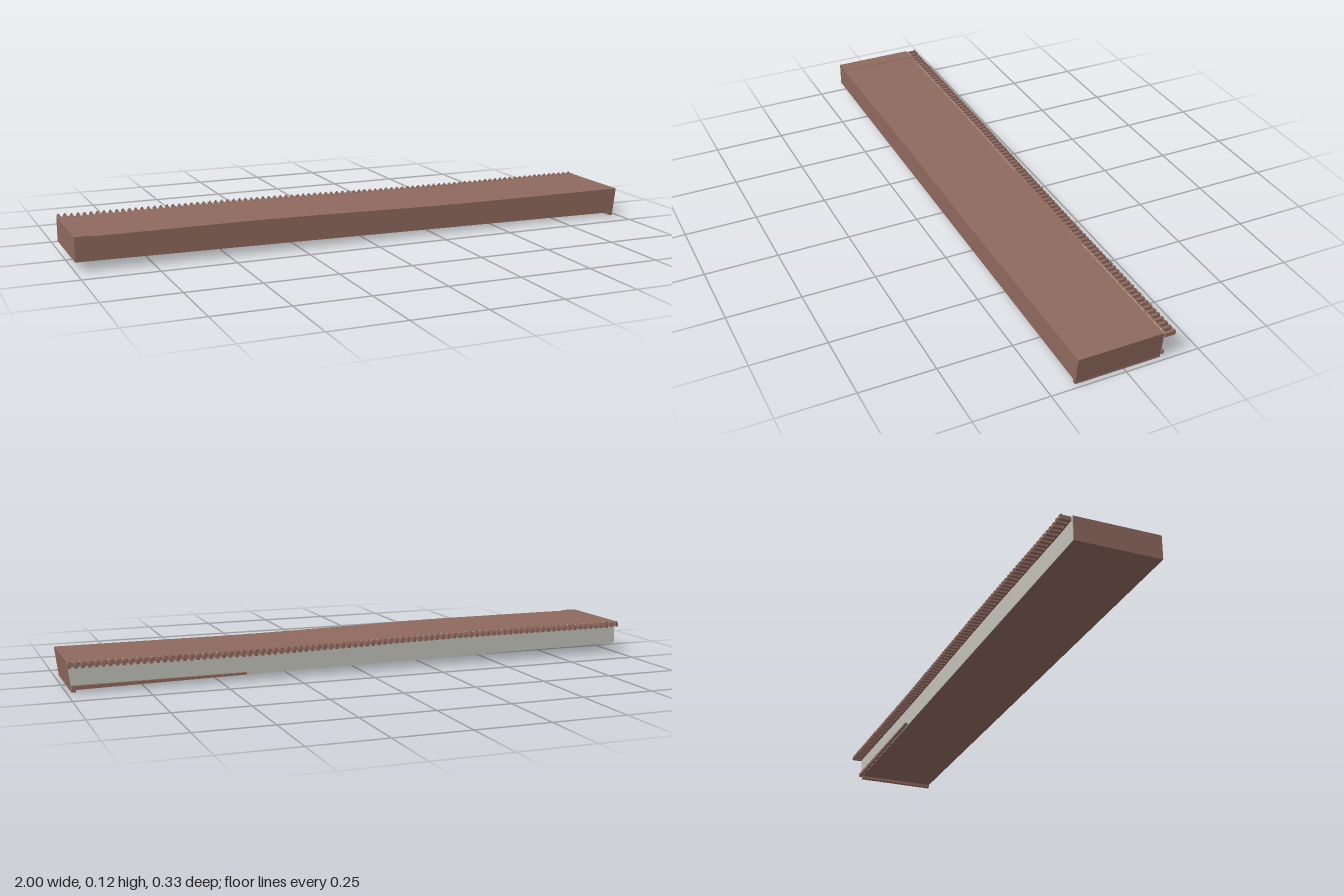
import * as THREE from 'three';

const FRONT = 0.163, BACK = -0.125;

// Height of the deck along its length: a raised end strip, then a gentle S down to the right
function topY(x) {
  if (x < -0.945) return 0.114;
  const t = THREE.MathUtils.smoothstep(x, -0.5, 0.45);
  return 0.1115 - 0.0125 * t;
}
const bottomY = (x) => 0.0215 - 0.0115 * x;

export function createModel() {
  const model = new THREE.Group();
  const brown = new THREE.MeshStandardMaterial({ color: 0x8f695e });
  brown.name = 'brown';
  const grey = new THREE.MeshStandardMaterial({ color: 0xc2c2ba });
  grey.name = 'pale grey';

  const add = (name, geometry, material, x = 0, y = 0, z = 0, parent = model) => {
    const mesh = new THREE.Mesh(geometry, material);
    mesh.name = name;
    mesh.position.set(x, y, z);
    parent.add(mesh);
    return mesh;
  };

  // Side profile of the deck, with a slightly leaning right end
  const profile = new THREE.Shape();
  profile.moveTo(-1, bottomY(-1));
  profile.lineTo(0.985, bottomY(0.985));
  profile.lineTo(0.996, topY(1));
  for (let i = 0; i <= 24; i++) {
    const x = 0.45 - (0.95 * i) / 24;
    profile.lineTo(x, topY(x));
  }
  profile.lineTo(-0.945, topY(-0.945));
  profile.lineTo(-0.946, topY(-0.946));
  profile.lineTo(-1, topY(-1));
  profile.closePath();
  const slab = (depth) => new THREE.ExtrudeGeometry(profile, { depth, bevelEnabled: false });
  add('deck', slab(FRONT - BACK), brown, 0, 0, BACK);

  // Pale rear wall facing
  add('rearFacing', slab(0.002), grey, 0, -0.0005, BACK - 0.002);

  // Low lip under the right end
  add('endLip', new THREE.BoxGeometry(0.014, 0.014, FRONT - BACK), brown,
    0.977, 0.007, (FRONT + BACK) / 2);

  // Ledge along the foot of the rear wall, on the right part only
  const x0 = 0.41, x1 = 0.985;
  const ledge = new THREE.Shape([
    new THREE.Vector2(x0, bottomY(x0) + 0.002),
    new THREE.Vector2(x1, bottomY(x1)),
    new THREE.Vector2(x1, bottomY(x1) + 0.013),
    new THREE.Vector2(x0, bottomY(x0) + 0.009),
  ]);
  add('rearLedge', new THREE.ExtrudeGeometry(ledge, { depth: 0.012, bevelEnabled: false }),
    brown, 0, 0, -0.137);

  // Row of short brackets reaching out from the rear edge, each with a small end knob
  const brackets = new THREE.Group();
  brackets.name = 'rearBrackets';
  model.add(brackets);
  const arm = new THREE.BoxGeometry(0.01, 0.014, 0.036);
  const knob = new THREE.CylinderGeometry(0.003, 0.003, 0.006, 8);
  const count = 92;
  for (let i = 0; i < count; i++) {
    const x = -0.988 + (1.982 * i) / (count - 1);
    const y = topY(x);
    add('bracketArm', arm, brown, x, y - 0.0075, -0.145, brackets);
    add('bracketKnob', knob, brown, x, y + 0.001, -0.156, brackets);
  }

  // Thin edge strip where the brackets meet the deck
  const edge = new THREE.Shape();
  const xs = Array.from({ length: 25 }, (_, i) => -0.99 + (1.984 * i) / 24);
  edge.setFromPoints([
    ...xs.map((x) => new THREE.Vector2(x, topY(x) - 0.014)),
    ...xs.slice().reverse().map((x) => new THREE.Vector2(x, topY(x) - 0.0005)),
  ]);
  add('deckEdge', new THREE.ExtrudeGeometry(edge, { depth: 0.007, bevelEnabled: false }),
    brown, 0, 0, -0.132);

  return model;
}
